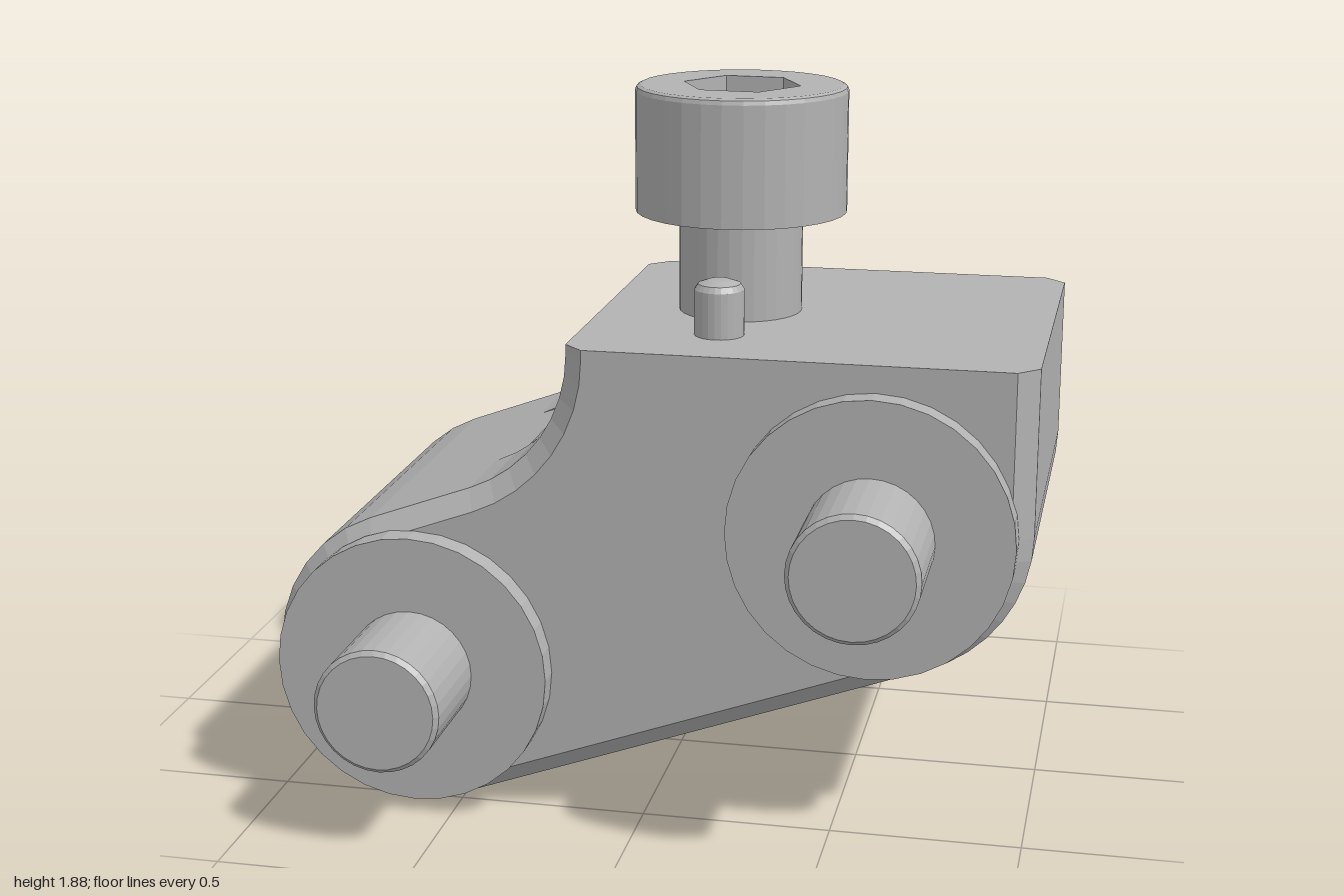
import * as THREE from 'three';

const steel = new THREE.MeshStandardMaterial({ color: 0xb2b2b2 });
steel.name = 'grey steel';

const DEG = Math.PI / 180;
const SLOPE = Math.atan2(0.44, 1.2); // tilt of the line joining the two pivots
const DIR = new THREE.Vector2(Math.cos(SLOPE), Math.sin(SLOPE));
const UP = new THREE.Vector2(-DIR.y, DIR.x);
const PIVOTS = [[-0.6, 0.4], [0.6, 0.84]];
const SEGMENTS = 32;
const TOP = 1.275;

// Faceted mesh from any geometry
function part(name, geometry) {
  const g = geometry.index ? geometry.toNonIndexed() : geometry;
  g.computeVertexNormals();
  const mesh = new THREE.Mesh(g, steel);
  mesh.name = name;
  return mesh;
}

function lathe(name, points, segments = SEGMENTS, start = 0) {
  return part(name, new THREE.LatheGeometry(points.map(p => new THREE.Vector2(...p)), segments, start));
}

function arc(cx, cy, r, a0, a1, n) {
  return Array.from({ length: n + 1 }, (_, i) => {
    const a = a0 + (a1 - a0) * i / n;
    return new THREE.Vector2(cx + r * Math.cos(a), cy + r * Math.sin(a));
  });
}

// Side outline of the block, inset by d except along the top; slotted adds the two shallow cuts
function outline(d, slotted = false) {
  const low = SLOPE - Math.PI / 2, r = 0.4 - d;
  const hollowY = 0.4 + 0.8 / Math.cos(SLOPE);
  const pts = arc(-0.6, 0.4, r, SLOPE + Math.PI / 2, SLOPE + Math.PI * 1.5, 16);
  if (slotted) {
    const base = pts[pts.length - 1];
    for (const [s, h] of [[0.4, 0], [0.4, 0.02], [0.408, 0.02], [0.408, 0]]) {
      pts.push(base.clone().addScaledVector(DIR, s).addScaledVector(UP, h));
    }
  }
  pts.push(...arc(0.6, 0.84, r, low, 0, 8));
  pts.push(new THREE.Vector2(1 - d, TOP), new THREE.Vector2(-0.2 + d, TOP));
  if (slotted) {
    pts.push(...arc(-0.6, hollowY, 0.4, 0, -55 * DEG, 6));
    const foot = arc(-0.6, hollowY, 0.4, low, low, 1)[0];
    pts.push(foot.clone().addScaledVector(DIR, 0.103), foot);
  } else {
    pts.push(...arc(-0.6, hollowY, 0.4 + d, 0, low, 8));
  }
  return pts;
}

// Closed solid through matching outlines, ordered from back to front
function loft(name, sections) {
  const pos = [];
  const put = (p, z) => pos.push(p.x, p.y, z);
  for (let k = 0; k < sections.length - 1; k++) {
    const [a, za] = sections[k], [b, zb] = sections[k + 1];
    for (let i = 0; i < a.length; i++) {
      const j = (i + 1) % a.length;
      put(a[i], za); put(a[j], za); put(b[j], zb);
      put(a[i], za); put(b[j], zb); put(b[i], zb);
    }
  }
  const cap = ([pts, z], front) => {
    for (const [a, b, c] of THREE.ShapeUtils.triangulateShape(pts, [])) {
      const ccw = (pts[b].x - pts[a].x) * (pts[c].y - pts[a].y) - (pts[b].y - pts[a].y) * (pts[c].x - pts[a].x) > 0;
      const order = ccw === front ? [a, b, c] : [a, c, b];
      order.forEach(i => put(pts[i], z));
    }
  };
  cap(sections[0], false);
  cap(sections[sections.length - 1], true);
  const g = new THREE.BufferGeometry();
  g.setAttribute('position', new THREE.Float32BufferAttribute(pos, 3));
  return part(name, g);
}

function createBlock() {
  const block = new THREE.Group();
  block.name = 'block';
  const full = outline(0), inset = outline(0.053), slotted = outline(0, true);
  block.add(
    loft('blockBack', [[inset, -0.54], [full, -0.487], [full, -0.24]]),
    loft('blockMiddle', [[slotted, -0.24], [slotted, 0.24]]),
    loft('blockFront', [[full, 0.24], [full, 0.487], [inset, 0.54]]),
  );
  return block;
}

// Washer and pin standing on one face of the block
function createPivot(x, y, side) {
  const pivot = new THREE.Group();
  pivot.name = (side > 0 ? 'front' : 'back') + (x > 0 ? 'Left' : 'Right') + 'Pivot';
  pivot.add(
    lathe('washer', [[0.365, 0.53], [0.365, 0.606], [0, 0.606]]),
    lathe('pin', [[0.165, 0.6], [0.165, 0.888], [0.153, 0.9], [0, 0.9]]),
  );
  // Underside of the washer where it overhangs the chamfer
  const under = part('washerUnderside', new THREE.RingGeometry(0.2, 0.365, SEGMENTS));
  under.rotation.x = Math.PI / 2;
  under.position.y = 0.539;
  pivot.add(under);
  pivot.rotation.x = side * Math.PI / 2;
  pivot.position.set(x, y, 0);
  return pivot;
}

function createScrew() {
  const screw = new THREE.Group();
  screw.name = 'capScrew';
  const y = 1.88, rim = 0.268, hexR = 0.158, turn = 26 * DEG;
  screw.add(lathe('screwBody', [
    [0.165, 1.26], [0.165, 1.535], [0.175, 1.545], [0.282, 1.545],
    [0.282, y - 0.016], [0.278, y - 0.005], [rim, y],
  ]));

  // Flat top with the hexagonal opening
  const ring = (r, n, start) => Array.from({ length: n }, (_, i) => {
    const a = start + i / n * Math.PI * 2;
    return new THREE.Vector2(r * Math.sin(a), -r * Math.cos(a));
  });
  const face = new THREE.Shape(ring(rim, SEGMENTS, 0));
  face.holes.push(new THREE.Path(ring(hexR, 6, turn)));
  const top = part('screwTop', new THREE.ShapeGeometry(face));
  top.rotation.x = -Math.PI / 2;
  top.position.y = y;
  screw.add(top);

  // Hexagonal socket with a conical floor
  screw.add(lathe('hexSocket', [[hexR, y], [hexR, y - 0.16], [0, y - 0.24]], 6, turn));
  screw.position.x = 0.162;
  return screw;
}

export function createModel() {
  const model = new THREE.Group();
  model.name = 'pivotBlock';
  model.add(createBlock(), createScrew());
  for (const [x, y] of PIVOTS) {
    for (const side of [1, -1]) model.add(createPivot(x, y, side));
  }
  // Locating dowels with rounded tips
  for (const side of [1, -1]) {
    const dowel = lathe(side > 0 ? 'frontDowel' : 'backDowel',
      [[0.065, 1.26], [0.065, 1.395], [0.055, 1.41], [0.03, 1.419], [0, 1.421]], 24);
    dowel.position.set(0.162, 0, side * 0.302);
    model.add(dowel);
  }
  return model;
}
